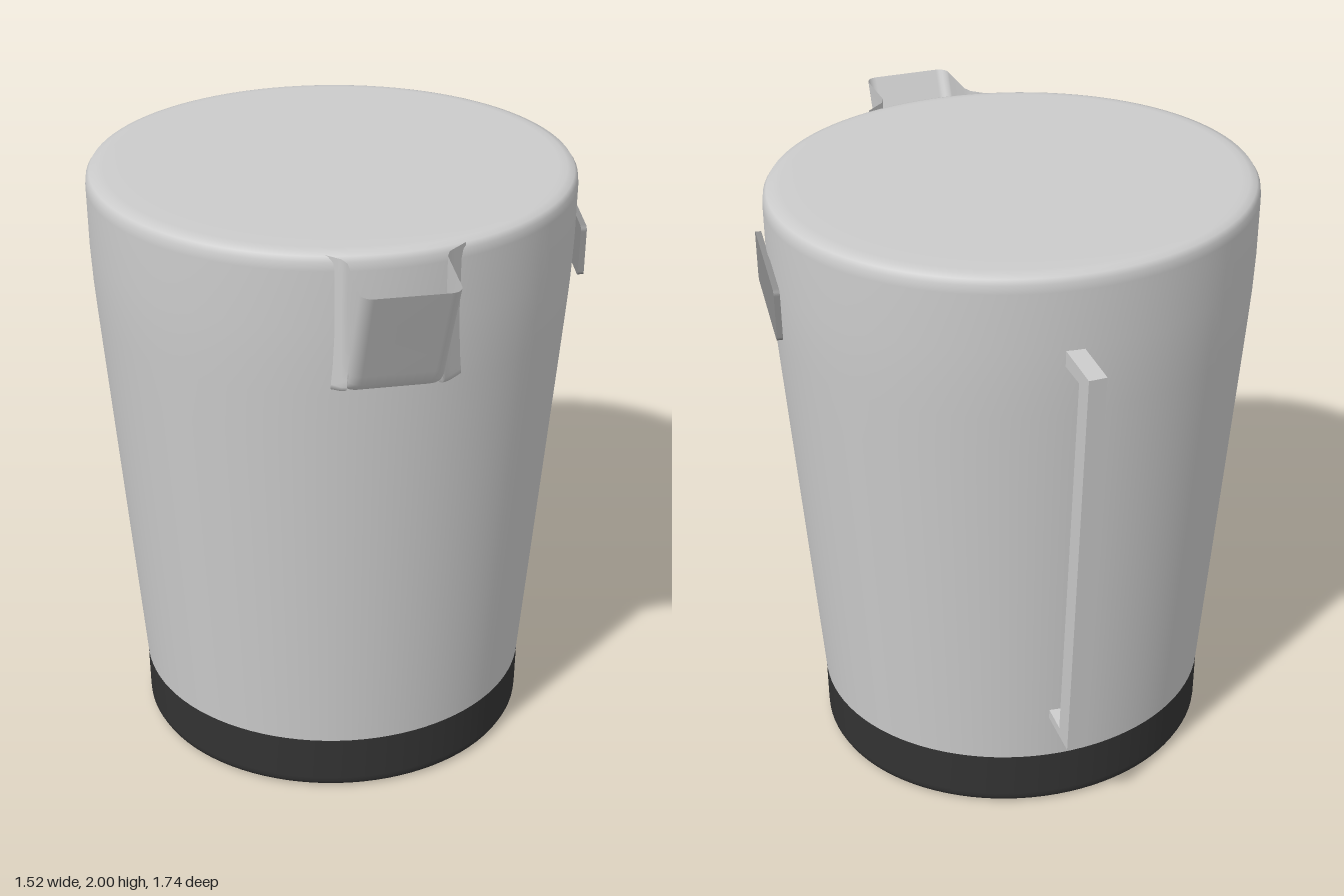
import * as THREE from 'three';

const GREY = 0xcccccc;

function mesh(name, geometry, color = GREY, side = THREE.FrontSide) {
  const m = new THREE.Mesh(geometry, new THREE.MeshStandardMaterial({ color, side }));
  m.name = name;
  return m;
}

// Oval part turned from a [radius, y] profile, listed bottom to top
function oval(name, profile, color) {
  const points = profile.map(([r, y]) => new THREE.Vector2(r, y));
  const m = mesh(name, new THREE.LatheGeometry(points, 96), color);
  m.scale.z = 0.893;
  m.position.set(-0.012, 0, -0.04);
  return m;
}

// Open scoop: U-shaped sections stacked from the body up to the lip
function spoutGeometry() {
  const levels = [[1.55, -0.05], [1.575, 0.015], [1.59, 0.04], [1.605, 0.06], [1.625, 0.078],
    [1.66, 0.096], [1.75, 0.14], [1.87, 0.2], [1.985, 0.257]];
  const half = 0.14, r = 0.035;
  const positions = [], index = [];
  let n = 0;
  for (const [y, front] of levels) {
    // Right half of the section: flare at the body, wall, rounded corner
    const right = [[0.21, -0.03], [0.175, 0.0], [0.152, 0.02], [half, 0.05]];
    for (let i = 0; i <= 5; i++) {
      const a = (i / 5) * Math.PI / 2;
      right.push([half - r + r * Math.cos(a), front - r + r * Math.sin(a)]);
    }
    const left = right.map(([u, w]) => [-u, w]).reverse();
    const section = [...right, ...left];
    n = section.length;
    const rise = 0.008 * (y > 1.98);
    for (const [u, w] of section) {
      positions.push(u, y + (w < 0.06 ? rise : 0), Math.min(w, front));
    }
  }
  for (let j = 0; j < levels.length - 1; j++) {
    for (let i = 0; i < n - 1; i++) {
      const a = j * n + i, b = a + 1, c = a + n, d = c + 1;
      index.push(a, c, b, b, c, d);
    }
  }
  const g = new THREE.BufferGeometry();
  g.setAttribute('position', new THREE.Float32BufferAttribute(positions, 3));
  g.setIndex(index);
  g.computeVertexNormals();
  return g;
}

// Bracket-shaped grip cut from one flat outline
function handleGeometry() {
  const outline = [[0.69, 1.765], [0.868, 1.757], [0.778, 0.355], [0.6, 0.367],
    [0.6, 0.402], [0.712, 0.392], [0.802, 1.713], [0.69, 1.713]];
  const shape = new THREE.Shape(outline.map(([r, y]) => new THREE.Vector2(r * 1.01, y)));
  const g = new THREE.ExtrudeGeometry(shape, { depth: 0.055, bevelEnabled: false });
  return g.translate(0, 0, -0.0275);
}

// Thin rectangle with rounded corners
function plateGeometry(w, h, depth, r) {
  const s = new THREE.Shape();
  const x = w / 2, y = h / 2;
  s.absarc(x - r, y - r, r, 0, Math.PI / 2);
  s.absarc(-x + r, y - r, r, Math.PI / 2, Math.PI);
  s.absarc(-x + r, -y + r, r, Math.PI, Math.PI * 1.5);
  s.absarc(x - r, -y + r, r, Math.PI * 1.5, Math.PI * 2);
  const g = new THREE.ExtrudeGeometry(s, { depth, bevelEnabled: false, curveSegments: 5 });
  return g.translate(0, 0, -depth / 2);
}

export function createModel() {
  const model = new THREE.Group();
  model.name = 'jug';

  // Tapered body with a closed, softly rounded top
  model.add(oval('body', [
    [0.649, 0.2], [0.651, 0.23], [0.676, 0.6], [0.703, 1.0], [0.73, 1.4], [0.74, 1.55], [0.746, 1.65],
    [0.75, 1.77], [0.75, 1.95], [0.747, 1.976], [0.737, 1.991], [0.715, 1.998],
    [0.69, 2], [0.6, 2], [0, 2],
  ]));

  // Dark base band and the flat underside
  model.add(oval('baseBand', [
    [0.625, 0.004], [0.64, 0.011], [0.647, 0.025], [0.648, 0.04], [0.649, 0.2],
  ], 0x333333));
  model.add(oval('underside', [[0, 0], [0.615, 0], [0.626, 0.005]]));

  // Pouring spout, turned slightly off the front
  const spout = mesh('spout', spoutGeometry(), GREY, THREE.DoubleSide);
  spout.position.set(0.14, 0, 0.6);
  spout.rotation.y = 0.14;
  model.add(spout);

  // Handle at the back
  const handle = mesh('handle', handleGeometry());
  handle.position.x = 0.064;
  handle.rotation.y = 1.74;
  model.add(handle);

  // Plate on the side
  const plate = mesh('sidePlate', plateGeometry(0.41, 0.165, 0.018, 0.015), 0x909090);
  plate.position.set(0.742, 1.742, -0.113);
  plate.rotation.y = Math.PI / 2 + 0.045;
  model.add(plate);

  return model;
}
